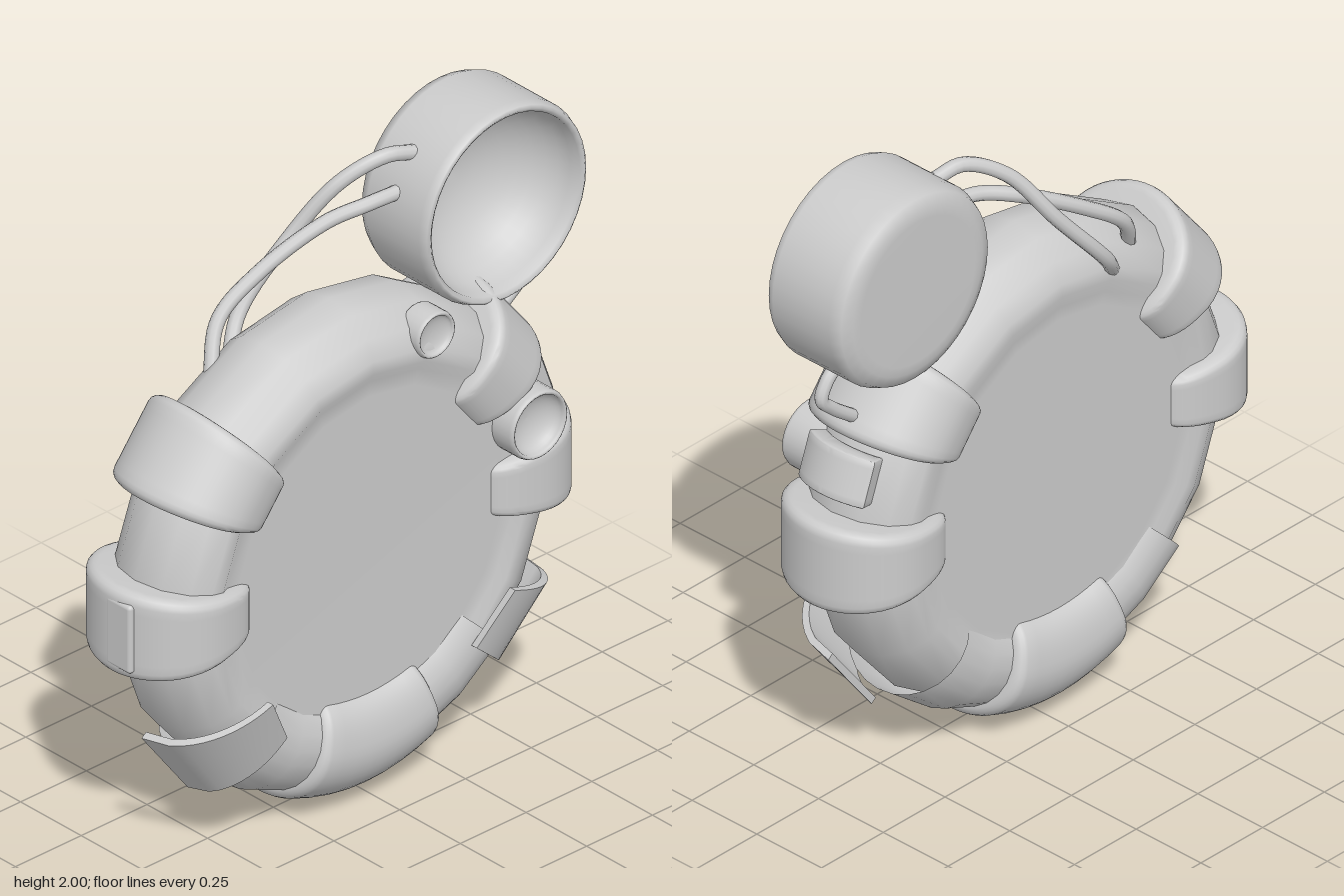
import * as THREE from 'three';
import { toCreasedNormals } from 'three/addons/utils/BufferGeometryUtils.js';
import { RoundedBoxGeometry } from 'three/addons/geometries/RoundedBoxGeometry.js';

const CX = -0.03, CY = 0.82; // centre of the ring
const material = new THREE.MeshStandardMaterial({ color: 0xcccccc, side: THREE.DoubleSide });
const rad = THREE.MathUtils.degToRad;

// Revolve [radius, z] points (back to front) around the z axis; angle 0 points down
function turned(points, segments, start = 0, sweep = Math.PI * 2) {
  const profile = points.map(([r, z]) => new THREE.Vector2(r, z));
  return new THREE.LatheGeometry(profile, segments, start, sweep).rotateX(Math.PI / 2);
}

// Cup with a bowl-shaped hollow opening towards +z
function cup(r, back, front, wall, floor, bevel, segments) {
  const points = [
    [0, back], [r - bevel * 1.6, back], [r - bevel, back + bevel * 0.05],
    [r - bevel * 0.3, back + bevel * 0.3], [r, back + bevel], [r, front - wall],
    [r - wall * 0.3, front - wall * 0.2], [r - wall * 0.6, front],
  ];
  for (let i = 0; i <= 10; i++) {
    const a = (i / 10) * Math.PI / 2;
    points.push([(r - wall) * Math.cos(a), front - wall * 0.3 - (front - floor) * Math.sin(a)]);
  }
  return turned(points, segments);
}

// Extrude a section drawn in the radial/z plane along the ring's tangent and set it at an angle;
// taper(u) scales the width, bend curves it around the ring
function onRing(shape, angle, width, b, taper = () => 1, bend = 0) {
  const depth = width - 2 * b;
  const g = new THREE.ExtrudeGeometry(shape, {
    depth, steps: 8, curveSegments: 12,
    bevelSize: b, bevelOffset: -b, bevelThickness: b, bevelSegments: 4,
  }).translate(0, 0, -depth / 2);
  const p = g.attributes.position;
  for (let i = 0; i < p.count; i++) {
    const u = p.getX(i), v = p.getZ(i) * taper(u);
    p.setXYZ(i, u - bend * v * v, p.getY(i), v);
  }
  return toCreasedNormals(g, 0.7).rotateX(Math.PI / 2).rotateZ(rad(angle)).translate(CX, CY, 0);
}

// Clamp around the tube, narrowing towards the middle of the ring
function clamp(angle, rIn, rOut, widthIn, widthOut, bend) {
  const front = 0.215, back = -0.247, mid = (rIn + rOut) / 2 - 0.02, zc = (front + back) / 2;
  const s = new THREE.Shape();
  s.moveTo(rIn, back + 0.1);
  s.quadraticCurveTo(rIn + 0.01, back + 0.01, mid, back);
  s.bezierCurveTo(rOut - 0.08, back, rOut, back + 0.12, rOut, zc);
  s.bezierCurveTo(rOut, front - 0.12, rOut - 0.08, front, mid, front);
  s.quadraticCurveTo(rIn + 0.01, front - 0.01, rIn, front - 0.1);
  s.closePath();
  const taper = (u) => THREE.MathUtils.mapLinear(u, rIn, rOut, widthIn / widthOut, 1);
  return onRing(s, angle, widthOut, 0.035, taper, bend);
}

// Curved plate lying on the outside of the tube
function rimPlate(angle, width) {
  const s = new THREE.Shape();
  s.absellipse(0.6, -0.01, 0.21, 0.2, -0.68, 0.68, false);
  s.absellipse(0.6, -0.01, 0.14, 0.17, 0.68, -0.68, true);
  s.closePath();
  return onRing(s, angle, width, 0.008);
}

// Thin curved guard over the front outer quarter of the tube; side is +1 or -1
function guard(side) {
  const g = new THREE.BoxGeometry(1, 1, 1, 14, 3, 1);
  const p = g.attributes.position, mix = THREE.MathUtils.lerp;
  for (let i = 0; i < p.count; i++) {
    const u = side * p.getX(i) + 0.5, t = p.getY(i) + 0.5;
    const inset = 0.022 * (0.5 - p.getZ(i));
    const x = mix(mix(0.36, 0.46, t), mix(0.555, 0.73, t), u);
    const y = mix(mix(0.38, 0.55, t), mix(0.21, 0.44, t), u);
    const c = Math.sqrt(Math.max(0, 1 - u * u));
    const z = 0.01 + mix(0.2, 0.25, t) * c;
    p.setXYZ(i, CX + side * (x - inset * u * 0.78), y + inset * u * 0.62, z - inset * c);
  }
  g.computeVertexNormals();
  return g;
}

function cable(points, radius) {
  const curve = new THREE.CatmullRomCurve3(points.map((q) => new THREE.Vector3(...q)));
  return new THREE.TubeGeometry(curve, 40, radius, 10);
}

export function createModel() {
  const group = new THREE.Group();
  const add = (name, geometry) => {
    const mesh = new THREE.Mesh(geometry, material);
    mesh.name = name;
    group.add(mesh);
    return mesh;
  };

  // Main ring with its nearly flush disc
  add('ringBody', turned([
    [0, -0.185], [0.5, -0.185], [0.54, -0.187], [0.58, -0.198], [0.62, -0.195],
    [0.68, -0.165], [0.73, -0.1], [0.75, -0.01], [0.73, 0.08], [0.68, 0.145],
    [0.62, 0.173], [0.58, 0.175], [0.55, 0.158], [0.5, 0.155], [0, 0.155],
  ], 18).translate(CX, CY, 0));

  // Wider sleeve over the bottom of the ring
  const oval = [];
  for (let i = 0; i <= 24; i++) {
    const a = Math.PI + (i / 24) * Math.PI * 2;
    oval.push([0.6 + 0.18 * Math.cos(a), -0.01 + 0.2 * Math.sin(a)]);
  }
  add('bottomSleeve', turned(oval, 6, -rad(45), rad(90)).translate(CX, CY, 0));

  // Clamps
  add('leftClamp', clamp(0, 0.45, 0.84, 0.16, 0.29, 0));
  add('rightClamp', clamp(180, 0.44, 0.83, 0.16, 0.29, 0));
  add('upperLeftClamp', clamp(38.5, 0.46, 0.815, 0.16, 0.305, 0));
  add('upperRightClamp', clamp(141.5, 0.46, 0.815, 0.16, 0.305, 0));
  add('bottomClamp', clamp(-90, 0.45, 0.815, 0.35, 0.56, 0.9));

  // Lower guards
  add('leftGuard', guard(1));
  add('rightGuard', guard(-1));

  // Large cup and two small ones
  add('largeCup', cup(0.312, -0.19, 0.105, 0.03, -0.13, 0.05, 40).translate(0.545, 1.688, 0));
  add('upperKnob', cup(0.073, 0.1, 0.188, 0.012, 0.168, 0.01, 24).translate(0.2, 1.44, 0));
  add('sideKnob', cup(0.108, 0.09, 0.24, 0.014, 0.185, 0.015, 28).translate(0.545, 1.03, 0));

  // Small plates on the outer rim
  add('rimPlate', rimPlate(20, 0.145));
  const tab = add('rightClampTab', new RoundedBoxGeometry(0.03, 0.22, 0.1, 3, 0.012));
  tab.position.set(-0.846, 0.82, 0.02);

  // Cables between the ring and the large cup
  add('lowerCable', cable([[-0.37, 1.38, -0.13], [-0.29, 1.525, -0.185], [-0.15, 1.63, -0.17],
    [0.05, 1.74, -0.11], [0.16, 1.775, -0.06], [0.262, 1.785, -0.04]], 0.022));
  add('upperCable', cable([[-0.27, 1.36, -0.165], [-0.17, 1.48, -0.23], [-0.01, 1.67, -0.2],
    [0.11, 1.84, -0.12], [0.23, 1.905, -0.06], [0.322, 1.89, -0.04]], 0.022));
  add('shortCable', cable([[0.72, 1.458, -0.04], [0.76, 1.42, -0.04], [0.78, 1.37, -0.04],
    [0.74, 1.325, -0.04], [0.63, 1.24, -0.04]], 0.02));

  return group;
}
